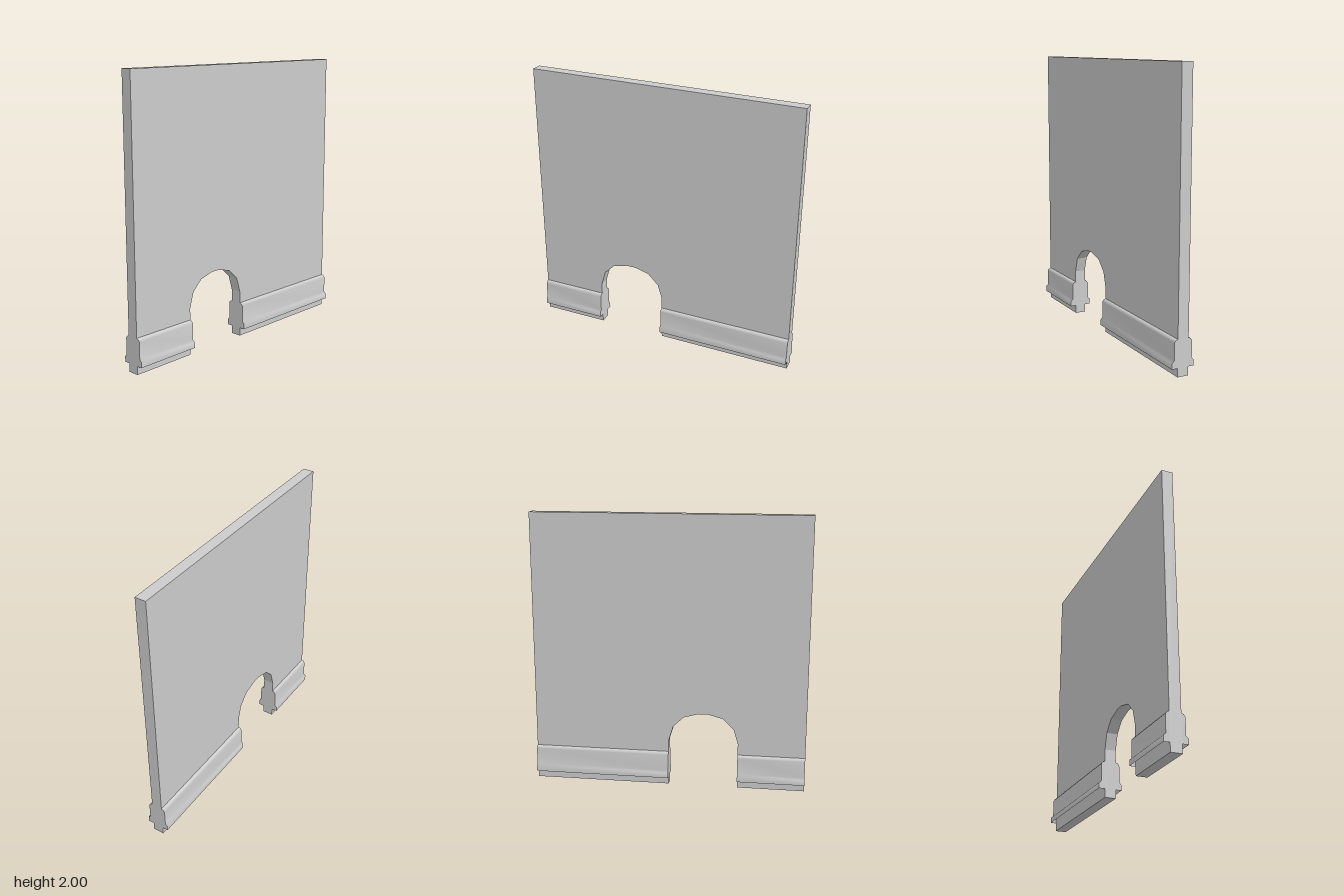
import * as THREE from 'three';

const HALF = 0.04; // half the wall thickness
const ARCH = [[0.51, 0], [0.51, 0.34], [0.477, 0.45], [0.4, 0.525], [0.29, 0.555],
  [0.22, 0.555], [0.11, 0.525], [0.033, 0.45], [0, 0.34], [0, 0]];
// skirting cross-section (x, y), from the foot up to the wall
const PROFILE = [[0.082, 0.06], [0.082, 0.1], [0.066, 0.115], [0.066, 0.235], [0.054, 0.25], [HALF, 0.255]];

const material = new THREE.MeshStandardMaterial({ color: 0xcccccc, side: THREE.DoubleSide });

// Wall slab with a faceted archway, outlined in (-z, y) and extruded across x
function makeWall() {
  const shape = new THREE.Shape();
  shape.moveTo(-1, 2);
  shape.lineTo(-1, 0);
  ARCH.forEach(([z, y]) => shape.lineTo(-z, y));
  shape.lineTo(1, 0);
  shape.lineTo(1, 2);
  const geometry = new THREE.ExtrudeGeometry(shape, { depth: 2 * HALF, bevelEnabled: false });
  geometry.translate(0, 0, -HALF).rotateY(Math.PI / 2);
  const wall = new THREE.Mesh(geometry, material);
  wall.name = 'wall';
  return wall;
}

// Skirting board on the +x face between two z positions, open underneath
function makeSkirting(z0, z1) {
  const group = new THREE.Group();
  const positions = [], index = [];
  PROFILE.forEach(([x, y], i) => {
    positions.push(x, y, z0, x, y, z1);
    if (i) {
      const a = 2 * i - 2;
      index.push(a, a + 2, a + 3, a, a + 3, a + 1);
    }
  });
  const geometry = new THREE.BufferGeometry();
  geometry.setAttribute('position', new THREE.Float32BufferAttribute(positions, 3));
  geometry.setIndex(index);
  geometry.computeVertexNormals();
  const face = new THREE.Mesh(geometry, material);
  face.name = 'skirtingFace';
  group.add(face);

  // flat end caps
  const outline = [[HALF, 0.06], ...PROFILE].map(([x, y]) => new THREE.Vector2(x, y));
  for (const z of [z0, z1]) {
    const capGeometry = new THREE.ShapeGeometry(new THREE.Shape(outline));
    if (z === z0) { // turn the rear cap to face backwards
      const corners = capGeometry.index.array;
      capGeometry.setIndex(Array.from(corners).reverse());
      capGeometry.computeVertexNormals();
    }
    const cap = new THREE.Mesh(capGeometry, material);
    cap.position.z = z;
    cap.name = 'skirtingEnd';
    group.add(cap);
  }
  return group;
}

export function createModel() {
  const model = new THREE.Group();
  model.name = 'archedWall';
  model.add(makeWall());

  // skirting on both faces, either side of the archway
  for (const [name, z0, z1] of [['front', 0.51, 1], ['rear', -1, 0]]) {
    const left = makeSkirting(z0, z1);
    left.name = name + 'LeftSkirting';
    const right = makeSkirting(-z1, -z0);
    right.rotation.y = Math.PI;
    right.name = name + 'RightSkirting';
    model.add(left, right);
  }
  return model;
}
